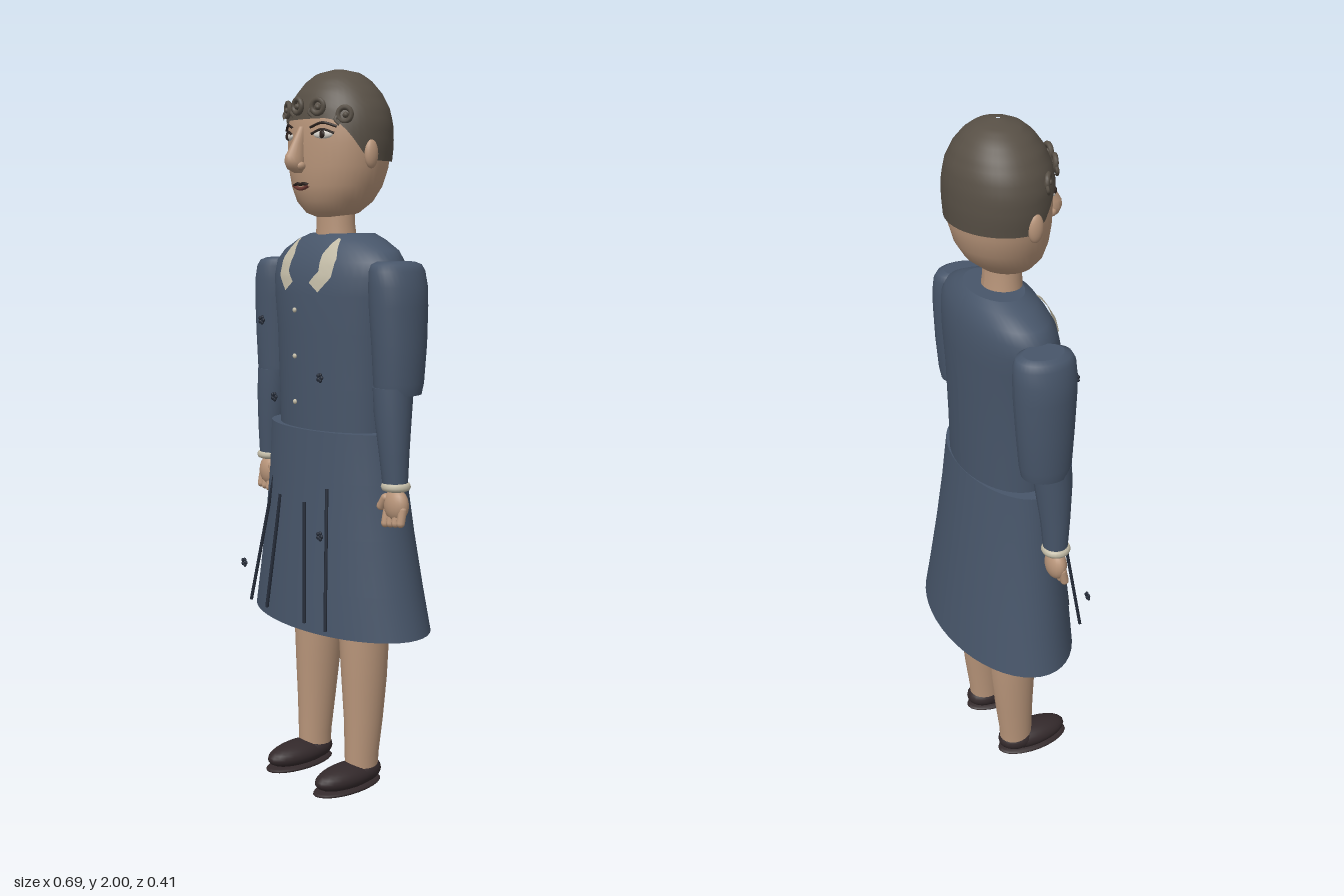
import * as THREE from 'three';

const mat = (name, color, side = THREE.FrontSide) => {
  const m = new THREE.MeshStandardMaterial({ color, side });
  m.name = name;
  return m;
};
const cloth = mat('blue cloth', 0x475569);
const skin = mat('skin', 0xb8957a);
const hairMat = mat('brown hair', 0x574f45);
const cream = mat('cream trim', 0xc2bba6, THREE.DoubleSide);
const leather = mat('dark leather', 0x33292b);
const navy = mat('navy thread', 0x242b38);
const white = mat('eye white', 0xd8d4cc);
const dark = mat('dark brown', 0x2c221e);
const lipMat = mat('lips', 0x6e3a34);

// Cross-sections are [y, centreX, centreZ, radiusX, radiusZ], listed bottom to top.
const TORSO = [
  [1.03, 0, -0.005, 0.2, 0.125], [1.15, 0, -0.005, 0.205, 0.126], [1.3, 0, -0.006, 0.213, 0.128],
  [1.4, 0, -0.008, 0.23, 0.129], [1.45, 0, -0.01, 0.238, 0.125], [1.49, 0, -0.014, 0.236, 0.117],
  [1.52, 0, -0.018, 0.21, 0.105], [1.548, 0, -0.021, 0.155, 0.09], [1.565, 0, -0.025, 0.11, 0.07],
];
const SKIRT = [
  [0.48, 0, -0.019, 0.322, 0.184], [0.6, 0, -0.015, 0.297, 0.172], [0.75, 0, -0.01, 0.27, 0.157],
  [0.9, 0, -0.005, 0.249, 0.143], [1.036, 0, 0, 0.24, 0.131],
];
const HEAD = [
  [1.608, 0, 0.012, 0.04, 0.04], [1.62, 0, 0.01, 0.075, 0.07], [1.65, 0, 0.002, 0.108, 0.1],
  [1.69, 0, -0.005, 0.13, 0.118], [1.74, 0, -0.01, 0.147, 0.127], [1.8, 0, -0.012, 0.155, 0.129],
  [1.85, 0, -0.012, 0.154, 0.127], [1.89, 0, -0.012, 0.142, 0.12], [1.93, 0, -0.012, 0.117, 0.102],
  [1.96, 0, -0.012, 0.087, 0.078], [1.98, 0, -0.012, 0.056, 0.05], [1.99, 0, -0.012, 0.005, 0.005],
];

function sectionAt(sections, y) {
  let i = 0;
  while (i < sections.length - 2 && sections[i + 1][0] < y) i++;
  const a = sections[i], b = sections[i + 1];
  const t = THREE.MathUtils.clamp((y - a[0]) / (b[0] - a[0]), 0, 1);
  return a.map((v, k) => v + (b[k] - v) * t);
}
function frontZ(sections, x, y) {
  const [, cx, cz, rx, rz] = sectionAt(sections, y);
  return cz + rz * Math.sqrt(Math.max(0, 1 - ((x - cx) / rx) ** 2));
}

// Grid surface from point(u, v); u runs to the right and v upwards as seen from outside.
function grid(nu, nv, point) {
  const pos = [], index = [];
  for (let j = 0; j <= nv; j++) for (let i = 0; i <= nu; i++) pos.push(...point(i / nu, j / nv));
  for (let j = 0; j < nv; j++) for (let i = 0; i < nu; i++) {
    const a = j * (nu + 1) + i, d = a + nu + 1;
    index.push(a, a + 1, d, a + 1, d + 1, d);
  }
  const g = new THREE.BufferGeometry();
  g.setAttribute('position', new THREE.Float32BufferAttribute(pos, 3));
  g.setIndex(index);
  g.computeVertexNormals();
  return g;
}
function add(parent, name, geometry, material, x = 0, y = 0, z = 0) {
  const m = new THREE.Mesh(geometry, material);
  m.name = name;
  m.position.set(x, y, z);
  parent.add(m);
  return m;
}
function ball(parent, name, material, x, y, z, rx, ry = rx, rz = rx, n = 20) {
  const m = add(parent, name, new THREE.SphereGeometry(1, n, Math.max(6, n * 0.7 | 0)), material, x, y, z);
  m.scale.set(rx, ry, rz);
  return m;
}
function tube(parent, name, material, points, r) {
  const curve = new THREE.CatmullRomCurve3(points.map(p => new THREE.Vector3(...p)));
  return add(parent, name, new THREE.TubeGeometry(curve, 16, r, 6), material);
}
// Elliptical loft with flat caps at both ends.
function loft(parent, name, sections, material, n = 36) {
  const g = new THREE.Group();
  g.name = name;
  const rim = ([y, cx, cz, rx, rz], u) => {
    const a = u * Math.PI * 2 + Math.PI;
    return [cx + Math.sin(a) * rx, y, cz + Math.cos(a) * rz];
  };
  const last = sections.length - 1;
  add(g, name + 'Side', grid(n, last, (u, v) => rim(sections[Math.round(v * last)], u)), material);
  [[sections[0], -1], [sections[last], 1]].forEach(([s, dir]) =>
    add(g, name + 'Cap', grid(n, 1, (u, v) => (v === (dir > 0 ? 0 : 1) ? rim(s, u) : [s[1], s[0], s[2]])), material));
  parent.add(g);
  return g;
}

// Small blossom of five beads
function blossom(parent, x, y, z) {
  const g = new THREE.Group();
  g.name = 'blossom';
  g.position.set(x, y, z);
  for (let i = 0; i < 5; i++) {
    const a = i * Math.PI * 0.4;
    ball(g, 'petal', navy, Math.cos(a) * 0.008, Math.sin(a) * 0.008, 0, 0.006, 0.006, 0.004, 8);
  }
  parent.add(g);
}

function arm(parent, s) {
  const g = new THREE.Group();
  g.name = s > 0 ? 'leftArm' : 'rightArm';
  const z = s > 0 ? 0.016 : -0.025;
  const wz = z + 0.028;
  // Full upper sleeve
  loft(g, 'upperSleeve', [
    [1.15, 0.28, z + 0.003, 0.057, 0.066], [1.18, 0.281, z + 0.002, 0.061, 0.071], [1.28, 0.28, z, 0.066, 0.078],
    [1.38, 0.276, z, 0.069, 0.084], [1.43, 0.274, z, 0.068, 0.085], [1.47, 0.27, z, 0.06, 0.083],
    [1.487, 0.267, z, 0.055, 0.074], [1.494, 0.264, z, 0.042, 0.055],
  ].map(([y, x, ...r]) => [y, x * s, ...r]), cloth);
  // Slim lower sleeve, cuff
  loft(g, 'lowerSleeve', [
    [0.9, 0.3, wz, 0.033, 0.032], [1, 0.294, wz, 0.041, 0.04], [1.1, 0.285, wz - 0.003, 0.05, 0.05],
    [1.17, 0.28, wz - 0.008, 0.053, 0.055],
  ].map(([y, x, ...r]) => [y, x * s, ...r]), cloth, 24);
  const cuff = add(g, 'cuff', new THREE.TorusGeometry(0.028, 0.012, 8, 24), cream, s * 0.302, 0.91, wz);
  cuff.rotation.x = Math.PI / 2;
  // Curled hand
  ball(g, 'palm', skin, s * 0.304, 0.86, wz, 0.04, 0.045, 0.027);
  for (let i = 0; i < 4; i++) {
    const f = add(g, 'finger', new THREE.CapsuleGeometry(0.0115, 0.035, 4, 10), skin, s * (0.274 + i * 0.02), 0.825 + 0.003 * i, wz + 0.008);
    f.rotation.x = -0.2;
  }
  const thumb = add(g, 'thumb', new THREE.CapsuleGeometry(0.012, 0.03, 4, 10), skin, s * 0.268, 0.865, wz + 0.014);
  thumb.rotation.z = s * -0.6;
  parent.add(g);
}

function leg(parent, s) {
  const g = new THREE.Group();
  g.name = s > 0 ? 'leftLeg' : 'rightLeg';
  const dz = s > 0 ? 0 : -0.006;
  loft(g, 'calf', [
    [0.05, 0.11, -0.005, 0.042, 0.05], [0.1, 0.11, -0.006, 0.044, 0.052], [0.2, 0.11, -0.012, 0.051, 0.059],
    [0.32, 0.108, -0.016, 0.06, 0.068], [0.42, 0.106, -0.017, 0.067, 0.072], [0.52, 0.104, -0.016, 0.071, 0.072],
  ].map(([y, x, z, ...r]) => [y, x * s, z + dz, ...r]), skin, 28);
  // Shoe and sole
  ball(g, 'shoe', leather, s * 0.11, 0.043, 0.046, 0.051, 0.036, 0.113, 24);
  ball(g, 'heel', leather, s * 0.11, 0.048, -0.005, 0.048, 0.036, 0.062, 20);
  ball(g, 'sole', leather, s * 0.11, 0.013, 0.048, 0.054, 0.013, 0.117, 24);
  parent.add(g);
}

function head(parent) {
  const g = new THREE.Group();
  g.name = 'head';
  loft(g, 'neck', [[1.54, 0, -0.003, 0.062, 0.055], [1.59, 0, -0.001, 0.057, 0.05], [1.65, 0, 0, 0.057, 0.05]], skin, 28);
  loft(g, 'face', HEAD, skin, 40);
  // Hair cap: low at the back, rising over the forehead
  add(g, 'hair', grid(48, 20, (u, v) => {
    const a = u * Math.PI * 2 + Math.PI, c = Math.cos(a);
    const low = 1.755 + 0.108 * THREE.MathUtils.smoothstep(c, 0.1, 0.88);
    const y = low + (1.99 - low) * (1 - (1 - v) ** 1.7);
    const [, cx, cz, rx, rz] = sectionAt(HEAD, y);
    const k = v === 1 ? 0 : 0.008;
    return [cx + Math.sin(a) * (rx + k), y + 0.01 * v, cz + c * (rz + k)];
  }), hairMat);
  // Curled fringe
  [[-0.13, 1.872, 0.055], [-0.075, 1.893, 0.104], [-0.01, 1.898, 0.122], [0.062, 1.893, 0.112], [0.122, 1.872, 0.07]].forEach(([x, y, z]) => {
    const c = new THREE.Group();
    c.name = 'curl';
    c.position.set(x, y, z);
    c.rotation.y = x * 5;
    add(c, 'ring', new THREE.TorusGeometry(0.018, 0.007, 8, 18), hairMat);
    ball(c, 'curlCentre', hairMat, 0.003, -0.002, 0.003, 0.008, 0.008, 0.008, 10);
    tube(c, 'curlTail', hairMat, [[-0.018, 0, 0], [-0.024, -0.014, 0.004], [-0.012, -0.026, 0.004]], 0.005);
    g.add(c);
  });
  for (const s of [-1, 1]) {
    ball(g, 'ear', skin, s * 0.157, 1.772, 0.008, 0.014, 0.038, 0.021);
    // Eye, iris, lid and brow
    const x = s * 0.072, y = 1.822, z = frontZ(HEAD, x, y);
    ball(g, 'eye', white, x, y, z, 0.029, 0.011, 0.007).rotation.y = s * 0.4;
    ball(g, 'iris', dark, x, y, z + 0.005, 0.0105, 0.0105, 0.005, 14);
    const lash = (name, h, w, r) => tube(g, name, dark, [-1, 0, 1].map(t => {
      const px = x + t * w, py = y + h - Math.abs(t) * 0.011;
      return [px, py, frontZ(HEAD, px, py) + 0.005];
    }), r);
    lash('eyelid', 0.013, 0.031, 0.0035);
    lash('brow', 0.03, 0.036, 0.0035);
    ball(g, 'nostrilWing', skin, -0.008 + s * 0.016, 1.742, 0.127, 0.012, 0.012, 0.014, 12);
  }
  loft(g, 'nose', [
    [1.724, -0.008, 0.122, 0.008, 0.012], [1.734, -0.008, 0.13, 0.02, 0.026], [1.752, -0.008, 0.134, 0.022, 0.031],
    [1.768, -0.008, 0.132, 0.019, 0.031], [1.8, -0.006, 0.122, 0.013, 0.022], [1.845, -0.004, 0.11, 0.01, 0.01],
  ], skin, 16);
  // Mouth
  const lip = (dy, bow, r, m) => tube(g, 'lip', m, [-1, -0.4, 0, 0.4, 1].map((t, i) => {
    const px = -0.008 + t * 0.034, py = 1.692 + dy * (1 - t * t) + (i === 2 ? bow : 0);
    return [px, py, frontZ(HEAD, px, py) + 0.003];
  }), r);
  lip(0.005, -0.003, 0.0045, dark);
  lip(-0.009, 0, 0.005, lipMat);
  parent.add(g);
}

export function createModel() {
  const model = new THREE.Group();
  model.name = 'womanInBlueDress';

  loft(model, 'bodice', TORSO, cloth, 48);
  loft(model, 'skirt', SKIRT, cloth, 48);
  for (const s of [-1, 1]) {
    arm(model, s);
    leg(model, s);
  }
  head(model);

  // Collar wings laid on the bodice
  const outer = [[0.07, 1.41], [0.11, 1.45], [0.113, 1.5], [0.09, 1.55]];
  const inner = [[0.035, 1.435], [0.064, 1.465], [0.06, 1.51], [0.08, 1.553]];
  for (const s of [-1, 1]) {
    add(model, 'collarWing', grid(4, 12, (u, v) => {
      const i = Math.min(2, Math.floor(v * 3)), t = v * 3 - i;
      const p = [0, 1].map(k => {
        const edge = e => e[i][k] + (e[i + 1][k] - e[i][k]) * t;
        const w = s > 0 ? u : 1 - u;
        return edge(inner) + (edge(outer) - edge(inner)) * w;
      });
      return [s * p[0], p[1], frontZ(TORSO, p[0], p[1]) + 0.007];
    }), cream);
  }

  // Front buttons
  for (const y of [1.36, 1.235, 1.11]) ball(model, 'button', cream, -0.01, y, 0.136, 0.007, 0.007, 0.005, 12);

  // Pleat cords on the skirt front
  [[-0.143, 0.885, 0.108, -0.2, 0.51, 0.153], [-0.08, 0.84, 0.135, -0.108, 0.51, 0.165],
    [0.045, 0.84, 0.148, 0.08, 0.51, 0.177], [0.12, 0.885, 0.13, 0.177, 0.51, 0.183]].forEach(([x0, y0, z0, x1, y1, z1]) =>
    tube(model, 'pleatCord', navy, [[x0, y0, z0], [x1, y1, z1]], 0.005));

  // Scattered blossoms
  [[-0.155, 1.325, 0.14], [0.13, 1.19, 0.162], [-0.097, 1.115, 0.142], [-0.215, 0.62, 0.166], [0.173, 0.775, 0.198]]
    .forEach(p => blossom(model, ...p));

  return model;
}
